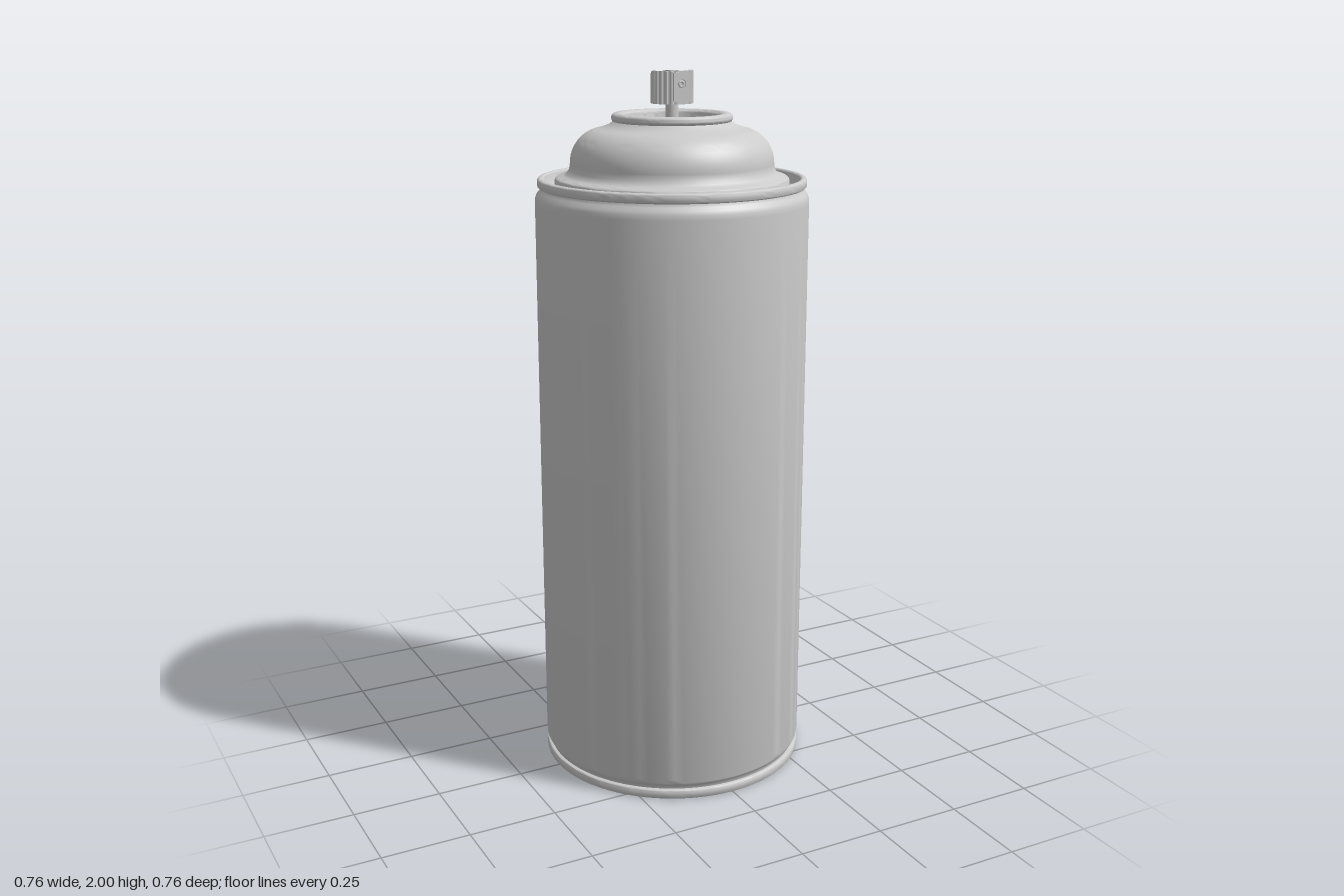
import * as THREE from 'three';
import { toCreasedNormals } from 'three/addons/utils/BufferGeometryUtils.js';

const material = new THREE.MeshStandardMaterial({ color: 0xcccccc });

function addMesh(group, name, geometry) {
  const mesh = new THREE.Mesh(geometry, material);
  mesh.name = name;
  group.add(mesh);
  return mesh;
}

// Surface of revolution from [radius, height] pairs, listed so that the outside faces out
function turned(profile, segments = 96) {
  const points = profile.map(([r, y]) => new THREE.Vector2(r, y));
  return toCreasedNormals(new THREE.LatheGeometry(points, segments), 0.7);
}

// Points along an elliptic arc, angles in degrees
function arc(cr, cy, rr, ry, from, to, steps) {
  return Array.from({ length: steps + 1 }, (_, i) => {
    const a = THREE.MathUtils.degToRad(from + ((to - from) * i) / steps);
    return [Math.max(0, cr + rr * Math.cos(a)), cy + ry * Math.sin(a)];
  });
}

export function createModel() {
  const can = new THREE.Group();
  can.name = 'sprayCan';

  // Straight wall, narrowing slightly into both seams
  addMesh(can, 'body', turned([
    [0.368, 0.026], [0.369, 0.036], [0.375, 0.042], [0.379, 0.05], [0.38, 0.06],
    [0.38, 1.645], [0.379, 1.658], [0.375, 1.668], [0.367, 1.677], [0.362, 1.685], [0.362, 1.692],
  ]));

  // Domed-in underside with the rolled bottom seam
  addMesh(can, 'base', turned([
    ...arc(0, 0.02, 0.355, 0.11, 90, 0, 16),
    [0.357, 0.006], [0.362, 0.001], [0.368, 0],
    ...arc(0.373, 0.007, 0.007, 0.007, -90, 0, 4),
    ...arc(0.373, 0.021, 0.007, 0.007, 0, 90, 4),
    [0.366, 0.028],
  ]));

  // Rolled top seam, recessed channel and rounded shoulder
  addMesh(can, 'shoulder', turned([
    [0.36, 1.686],
    ...arc(0.366, 1.693, 0.007, 0.007, -90, 0, 4),
    ...arc(0.364, 1.705, 0.009, 0.008, 0, 90, 4),
    ...arc(0.362, 1.705, 0.008, 0.008, 90, 180, 4),
    [0.35, 1.685], [0.342, 1.675], [0.336, 1.673], [0.329, 1.677], [0.326, 1.686], [0.325, 1.703],
    ...arc(0.313, 1.703, 0.012, 0.012, 0, 80, 5),
    [0.3, 1.718], [0.291, 1.724], [0.285, 1.734], [0.282, 1.747],
    ...arc(0.19, 1.75, 0.092, 0.096, 0, 80, 12),
    [0.19, 1.849], [0.175, 1.855], [0.165, 1.862], [0.158, 1.868],
  ]));

  // Valve cup: rolled lip, inner well and central pedestal
  addMesh(can, 'valveCup', turned([
    [0.156, 1.862],
    ...arc(0.157, 1.874, 0.01, 0.012, -90, 90, 8),
    [0.146, 1.886],
    ...arc(0.144, 1.874, 0.013, 0.012, 90, 180, 5),
    [0.132, 1.82], [0.126, 1.811], [0.117, 1.808], [0.066, 1.808],
    [0.058, 1.812], [0.055, 1.82], [0.055, 1.848],
    ...arc(0.045, 1.848, 0.01, 0.01, 0, 90, 4),
    [0.018, 1.86],
  ]));
  addMesh(can, 'stem', new THREE.CylinderGeometry(0.018, 0.018, 0.07, 24).translate(0, 1.885, 0));

  // Ribbed push button, flat at the front and sloping down at the back
  const button = new THREE.Group();
  button.name = 'button';
  can.add(button);
  const bottom = 1.912, height = 0.088, flatZ = 0.054;
  const topY = z => bottom + height - Math.max(0, -z - 0.005) * 0.4;

  const ribs = 24, outline = [];
  for (let i = 0; i < ribs * 4; i++) {
    const a = (i / (ribs * 4)) * Math.PI * 2;
    const r = i % 4 < 2 ? 0.059 : 0.055;
    outline.push(new THREE.Vector2(r * Math.cos(a), Math.max(-flatZ, r * Math.sin(a))));
  }
  const cap = new THREE.ExtrudeGeometry(new THREE.Shape(outline), { depth: height, bevelEnabled: false });
  cap.rotateX(-Math.PI / 2).translate(0, bottom, 0);
  const p = cap.attributes.position;
  for (let i = 0; i < p.count; i++) {
    if (p.getY(i) > bottom + height / 2) p.setY(i, topY(p.getZ(i)));
  }
  addMesh(button, 'ribbedCap', toCreasedNormals(cap, 0.4));

  // Front panel with the spray hole
  const panel = new THREE.Shape();
  panel.moveTo(-0.024, -0.038).lineTo(0.024, -0.038).lineTo(0.024, 0.038).lineTo(-0.024, 0.038).closePath();
  const hole = new THREE.Path();
  hole.absarc(0, 0.008, 0.013, 0, Math.PI * 2, true);
  panel.holes.push(hole);
  addMesh(button, 'frontPanel', new THREE.ExtrudeGeometry(panel, { depth: 0.005, bevelEnabled: false, curveSegments: 16 })
    .translate(0, bottom + 0.046, flatZ - 0.001));
  addMesh(button, 'sprayHole', new THREE.TorusGeometry(0.007, 0.003, 8, 20)
    .translate(0, bottom + 0.054, flatZ + 0.001));

  // Shallow direction pointer on top, aimed at the front
  const pointer = new THREE.Shape();
  pointer.moveTo(0, 0.04);
  pointer.quadraticCurveTo(-0.012, 0.026, -0.03, 0.017);
  pointer.quadraticCurveTo(-0.012, -0.006, 0, -0.038);
  pointer.quadraticCurveTo(0.012, -0.006, 0.03, 0.017);
  pointer.quadraticCurveTo(0.012, 0.026, 0, 0.04);
  const mark = new THREE.ExtrudeGeometry(pointer, { depth: 0.003, bevelEnabled: false, curveSegments: 6 });
  mark.rotateX(-Math.PI / 2);
  const m = mark.attributes.position;
  for (let i = 0; i < m.count; i++) m.setY(i, topY(m.getZ(i)) - 0.003 + m.getY(i) * 1.1);
  mark.computeVertexNormals();
  addMesh(button, 'pointer', mark);

  return can;
}
